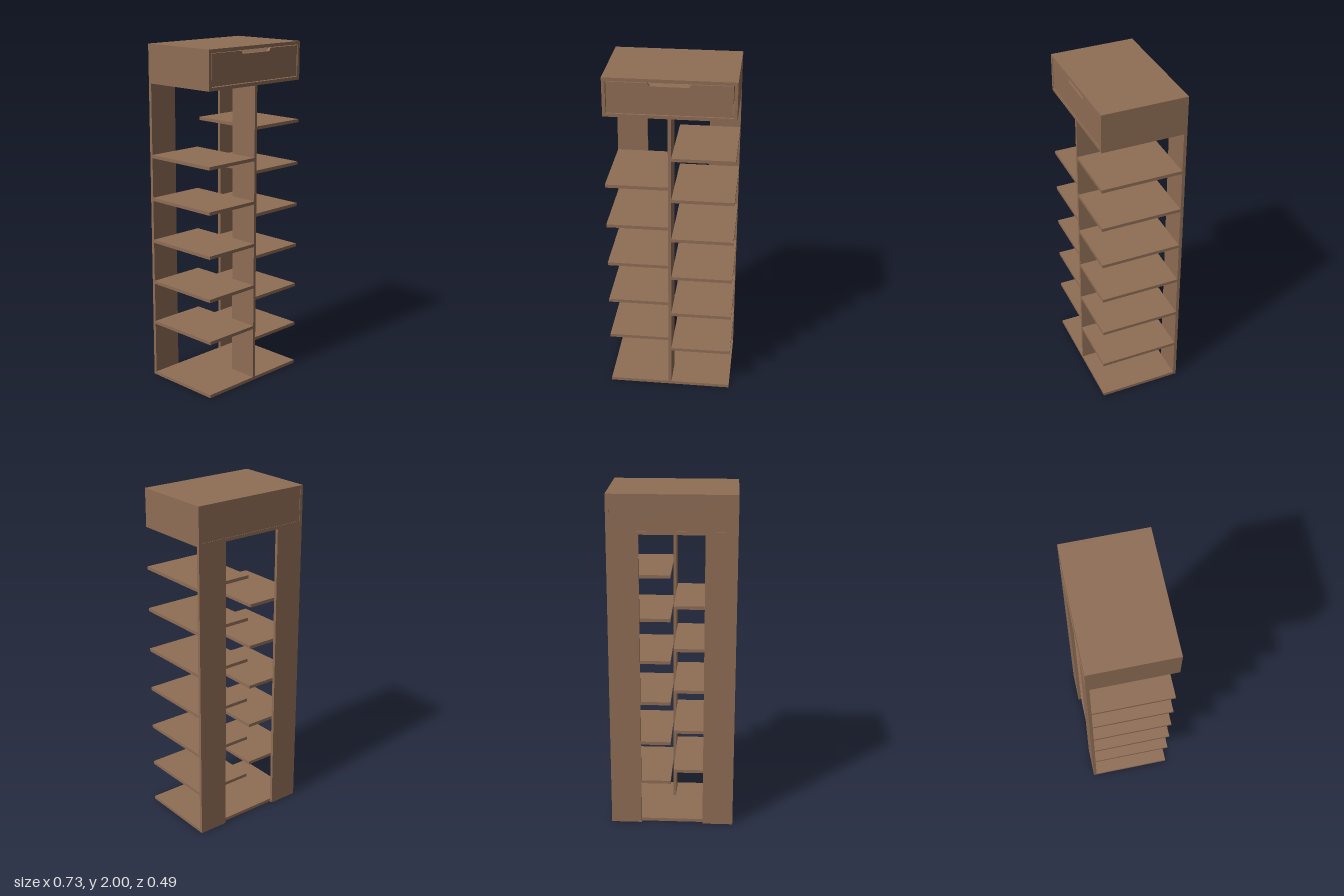
import * as THREE from 'three';

const T = 0.019; // board thickness
const W = 0.364, D = 0.246; // half width, half depth
const CASE_Y = 1.777, TOP = 2;

export function createModel() {
  const model = new THREE.Group();
  model.name = 'shelfTower';
  const wood = new THREE.MeshStandardMaterial({ color: 0x8f6d55 });
  wood.name = 'brown wood';

  // A board given by its lower and upper limits on each axis
  function board(name, parent, [x0, x1], [y0, y1], [z0, z1]) {
    const mesh = new THREE.Mesh(new THREE.BoxGeometry(x1 - x0, y1 - y0, z1 - z0), wood);
    mesh.position.set((x0 + x1) / 2, (y0 + y1) / 2, (z0 + z1) / 2);
    mesh.name = name;
    parent.add(mesh);
    return mesh;
  }

  const shelfZ = [-D + T, D];

  // Base, centre divider and the two back uprights
  board('base', model, [-W, W], [0, T], shelfZ);
  board('divider', model, [-0.009, 0.009], [T, CASE_Y], [0.07, D]);
  board('rightBackUpright', model, [-W, -0.184], [0, CASE_Y], [-D, -D + T]);
  board('leftBackUpright', model, [0.184, W], [0, CASE_Y], [-D, -D + T]);

  // Staggered shelves on both sides of the divider
  for (let i = 0; i < 6; i++) {
    const y = 0.253 + i * 0.2545;
    board('leftShelf', model, [0.009, W], [y, y + T], shelfZ);
  }
  for (let i = 0; i < 5; i++) {
    const y = 0.329 + i * 0.2545;
    board('rightShelf', model, [-W, -0.009], [y, y + T], shelfZ);
  }

  // Drawer case
  const drawerCase = new THREE.Group();
  drawerCase.name = 'drawerCase';
  model.add(drawerCase);
  const inner = W - T;
  board('caseTop', drawerCase, [-inner, inner], [TOP - T, TOP], [-D, D]);
  board('caseBottom', drawerCase, [-inner, inner], [CASE_Y, CASE_Y + T], [-D, D]);
  board('caseSide', drawerCase, [-W, -inner], [CASE_Y, TOP], [-D, D]);
  board('caseSide', drawerCase, [inner, W], [CASE_Y, TOP], [-D, D]);
  board('caseBack', drawerCase, [-inner, inner], [CASE_Y + T, TOP - T], [-D + 0.003, -D + T]);

  // Drawer box
  const drawer = new THREE.Group();
  drawer.name = 'drawer';
  model.add(drawer);
  const dx = inner - 0.012, y0 = CASE_Y + T + 0.004, y1 = TOP - T - 0.004;
  const boxTop = y1 - 0.03, front = D - T;
  board('drawerBottom', drawer, [-dx, dx], [y0, y0 + 0.01], [-0.2, front]);
  board('drawerBack', drawer, [-dx, dx], [y0, boxTop], [-0.21, -0.2]);
  board('drawerSide', drawer, [-dx, -dx + 0.012], [y0, boxTop], [-0.2, front]);
  board('drawerSide', drawer, [dx - 0.012, dx], [y0, boxTop], [-0.2, front]);

  // Drawer front with a finger notch in its top edge
  const fx = inner - 0.004;
  const outline = new THREE.Shape([
    [-fx, y0], [fx, y0], [fx, y1], [0.118, y1], [0.105, y1 - 0.018],
    [-0.105, y1 - 0.018], [-0.118, y1], [-fx, y1],
  ].map(([x, y]) => new THREE.Vector2(x, y)));
  const drawerFront = new THREE.Mesh(
    new THREE.ExtrudeGeometry(outline, { depth: T - 0.002, bevelEnabled: false }), wood);
  drawerFront.position.z = front;
  drawerFront.name = 'drawerFront';
  drawer.add(drawerFront);

  return model;
}
